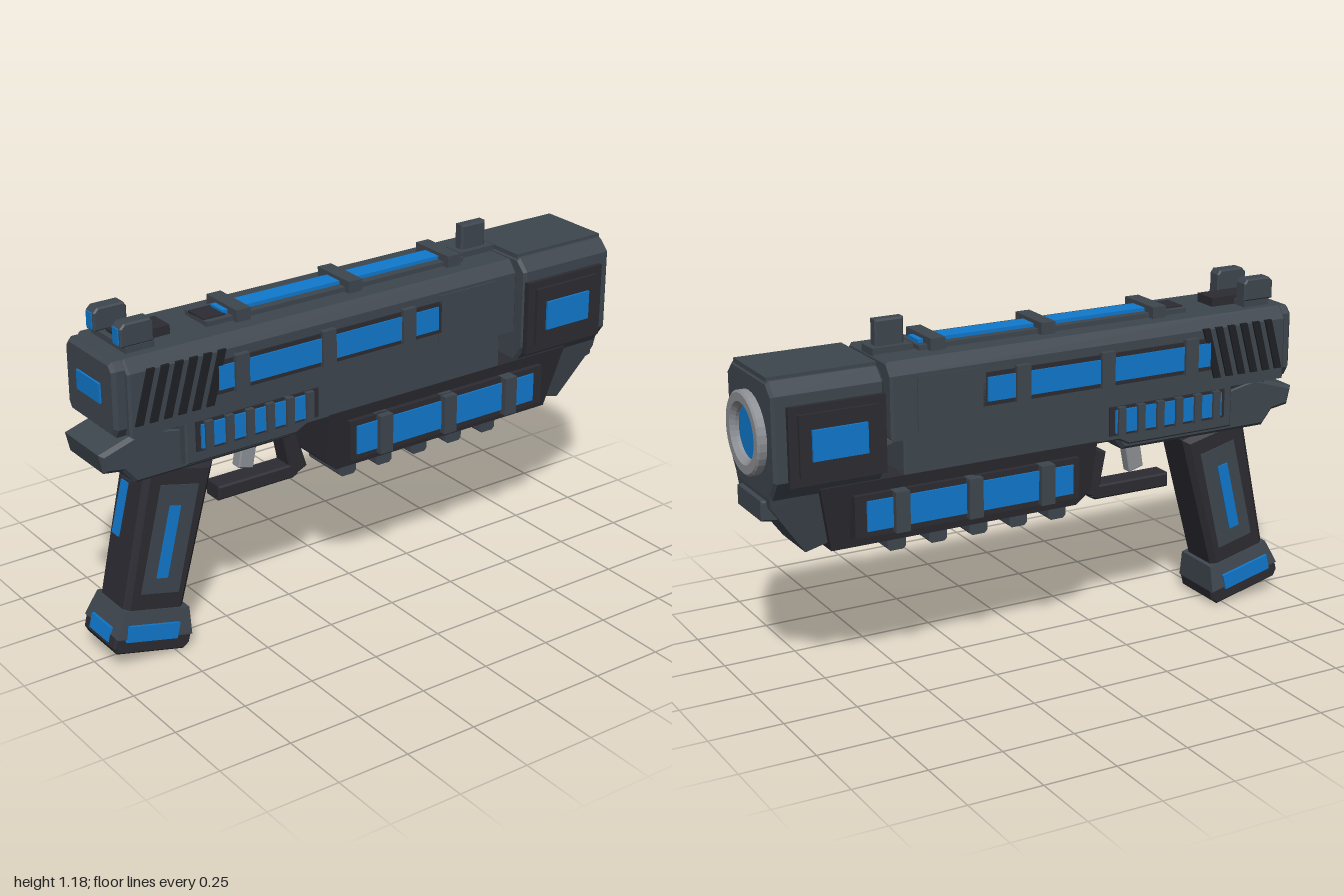
import * as THREE from 'three';

const mat = (name, color) => Object.assign(new THREE.MeshStandardMaterial({ color }), { name });

export function createModel() {
  const gray = mat('gunmetal', 0x3e464e), dark = mat('dark polymer', 0x2c2b32);
  const blue = mat('blue glow', 0x1079cd), silver = mat('steel', 0x8d9095), black = mat('slot black', 0x1e2024);
  const model = new THREE.Group();
  model.name = 'sciFiBlaster';

  const add = (name, geo, m, parent = model) => {
    const mesh = new THREE.Mesh(geo, m);
    mesh.name = name;
    parent.add(mesh);
    return mesh;
  };
  // box given by full x width and centre, y range, z range
  const box = (name, m, w, x, [y0, y1], [z0, z1], parent) => {
    const g = new THREE.BoxGeometry(w, y1 - y0, Math.abs(z1 - z0));
    return add(name, g.translate(x, (y0 + y1) / 2, (z0 + z1) / 2), m, parent);
  };
  // the same box on both sides, reaching from inner to outer x
  const pair = (name, m, [a, b], ys, zs, parent) => {
    for (const s of [1, -1]) box(name, m, b - a, s * (a + b) / 2, ys, zs, parent);
  };
  const extrude = (pts, depth, bevel) => {
    const shape = new THREE.Shape(pts.map(p => new THREE.Vector2(...p)));
    const g = new THREE.ExtrudeGeometry(shape, {
      depth: depth - 2 * bevel, bevelEnabled: bevel > 0, bevelSize: bevel,
      bevelThickness: bevel, bevelOffset: -bevel, bevelSegments: 1,
    });
    return g.translate(0, 0, bevel - depth / 2);
  };
  // side profile in (z, y), extruded across x
  const profile = (pts, halfWidth, bevel = 0) => extrude(pts, halfWidth * 2, bevel).rotateY(-Math.PI / 2);
  // cross-section in (x, y) from its +x half, extruded along z
  const section = (half, z0, z1, bevel = 0) => {
    const pts = [...half, ...half.map(([x, y]) => [-x, y]).reverse()];
    return extrude(pts, z1 - z0, bevel).translate(0, 0, (z0 + z1) / 2);
  };
  // scale x so that the width changes linearly with y
  const taper = (g, y0, s0, y1, s1) => {
    const p = g.attributes.position;
    for (let i = 0; i < p.count; i++) {
      const t = THREE.MathUtils.clamp((p.getY(i) - y0) / (y1 - y0), 0, 1);
      p.setX(i, p.getX(i) * (s0 + (s1 - s0) * t));
    }
    g.computeVertexNormals();
    return g;
  };

  // slide with chamfered top and stepped back plate
  add('slide', section([[0.168, 0.83], [0.168, 1.04], [0.135, 1.08]], -0.57, 0.92, 0.008), gray);
  add('backPlate', section([[0.13, 0.83], [0.148, 0.86], [0.148, 1.05], [0.125, 1.075]], 0.9, 0.96, 0.012), gray);
  box('backLight', blue, 0.14, 0, [0.925, 0.99], [0.95, 0.967]);
  pair('slidePanel', gray, [0.16, 0.172], [0.85, 1.03], [-0.48, -0.24]);

  // slanted grooves at the rear of the slide
  for (let i = 0; i < 6; i++) {
    const z = 0.905 - i * 0.05;
    const pts = [[z, 0.87], [z - 0.027, 0.87], [z - 0.075, 1.045], [z - 0.048, 1.045]];
    for (const s of [1, -1]) add('slideGroove', profile(pts, 0.005).translate(s * 0.17, 0, 0), black);
  }

  // side light strips with their clips
  pair('slideLightFrame', dark, [0.16, 0.172], [0.9, 1.01], [-0.25, 0.615]);
  pair('slideLight', blue, [0.168, 0.177], [0.915, 0.995], [-0.235, 0.61]);
  for (const z of [0.53, 0.205, -0.11]) pair('slideClip', gray, [0.16, 0.187], [0.9, 1.02], [z - 0.025, z + 0.025]);

  // top light strip, clips and sights
  box('topRail', gray, 0.13, 0, [1.07, 1.096], [-0.42, 0.58]);
  box('topRailCatch', dark, 0.09, 0, [1.08, 1.1], [0.5, 0.58]);
  box('topLight', blue, 0.07, 0, [1.09, 1.108], [-0.41, 0.505]);
  for (const z of [0.46, 0.035, -0.365]) box('topClip', gray, 0.175, 0, [1.07, 1.12], [z - 0.026, z + 0.026]);
  box('frontSightBase', gray, 0.08, 0, [1.075, 1.1], [-0.57, -0.43]);
  add('frontSight', profile([[-0.45, 1.08], [-0.45, 1.185], [-0.55, 1.185], [-0.55, 1.08]], 0.02, 0.006), gray);
  box('rearSightBase', gray, 0.21, 0, [1.075, 1.1], [0.79, 0.89]);
  box('rearSightNotch', dark, 0.09, 0, [1.08, 1.11], [0.7, 0.87]);
  for (const s of [1, -1]) {
    const post = profile([[0.79, 1.1], [0.905, 1.1], [0.905, 1.16], [0.89, 1.175], [0.8, 1.175], [0.79, 1.16]], 0.026, 0.005);
    add('rearSightPost', post.translate(s * 0.08, 0, 0), gray);
    box('rearSightLight', blue, 0.032, s * 0.08, [1.107, 1.16], [0.9, 0.909]);
  }

  // lower frame and tail
  add('frame', profile([[0.72, 0.84], [-0.52, 0.84], [-0.52, 0.7], [0.27, 0.7], [0.31, 0.68], [0.72, 0.68]], 0.15, 0.006), gray);
  add('frameTail', profile([[1, 0.775], [0.84, 0.825], [0.72, 0.8], [0.3, 0.8], [0.27, 0.7], [0.31, 0.65],
    [0.88, 0.65], [0.92, 0.7], [0.985, 0.71]], 0.115, 0.012), gray);
  box('tailBridge', dark, 0.22, 0, [0.79, 0.84], [0.7, 0.88]);
  pair('frameLightPlate', dark, [0.14, 0.156], [0.72, 0.82], [0.23, 0.685]);
  pair('frameLight', blue, [0.155, 0.163], [0.73, 0.81], [0.25, 0.67]);
  for (let i = 0; i < 6; i++) {
    const z = 0.645 - i * 0.075;
    pair('frameBar', gray, [0.145, 0.172], [0.72, 0.82], [z - 0.014, z + 0.014]);
  }

  // underbarrel housing, its lights, clips and rail teeth
  const housing = profile([[0.185, 0.71], [-0.81, 0.71], [-0.76, 0.485], [0.13, 0.485], [0.18, 0.53]], 1);
  add('underbarrel', taper(housing, 0.485, 0.11, 0.69, 0.152), dark);
  pair('underLightFrame', dark, [0.1, 0.163], [0.53, 0.67], [-0.7, 0.11]);
  pair('underLight', blue, [0.16, 0.169], [0.55, 0.65], [-0.66, 0.085]);
  for (const z of [-0.02, -0.285, -0.545]) pair('underClip', gray, [0.14, 0.188], [0.535, 0.67], [z - 0.025, z + 0.025]);
  for (let i = 0; i < 5; i++) {
    const z = 0.068 - i * 0.148;
    add('railTooth', profile([[z + 0.033, 0.5], [z + 0.033, 0.45], [z + 0.023, 0.44], [z - 0.023, 0.44],
      [z - 0.033, 0.45], [z - 0.033, 0.5]], 0.09), gray);
  }

  // muzzle block, side plates and lower wedge
  add('muzzleBlock', section([[0.13, 0.69], [0.18, 0.76], [0.18, 1.035], [0.14, 1.075]], -0.97, -0.595, 0.01), gray);
  box('muzzleCap', gray, 0.26, 0, [1.06, 1.085], [-0.965, -0.6]);
  pair('muzzlePlate', dark, [0.17, 0.196], [0.745, 1.0], [-0.925, -0.6]);
  pair('muzzlePlateStep', dark, [0.19, 0.208], [0.775, 0.975], [-0.895, -0.63]);
  pair('muzzleLight', blue, [0.207, 0.216], [0.825, 0.925], [-0.855, -0.67]);
  const wedge = profile([[-0.78, 0.71], [-0.97, 0.71], [-0.965, 0.665], [-0.84, 0.49], [-0.75, 0.515]], 1);
  add('muzzleWedge', taper(wedge, 0.49, 0.09, 0.7, 0.135), gray);
  add('muzzleLip', profile([[-0.9, 0.685], [-0.985, 0.685], [-0.985, 0.62], [-0.93, 0.61]], 0.1, 0.006), gray);

  // barrel: hollow ring at the muzzle, sleeve in the gap behind it
  const ring = [[0.085, 0], [0.085, 0.035], [0.1, 0.05], [0.128, 0.05], [0.135, 0.044], [0.135, 0]];
  const ringGeo = new THREE.LatheGeometry(ring.map(p => new THREE.Vector2(...p)).reverse(), 32);
  const muzzleRing = add('barrelRing', ringGeo.toNonIndexed().rotateX(-Math.PI / 2).translate(0, 0.88, -0.95), silver);
  muzzleRing.geometry.computeVertexNormals();
  silver.side = THREE.DoubleSide;
  const disc = new THREE.CircleGeometry(0.09, 32).rotateY(Math.PI);
  add('boreLight', disc.translate(0, 0.88, -0.974), blue);
  add('barrelSleeve', new THREE.CylinderGeometry(0.11, 0.11, 0.2, 32).rotateX(Math.PI / 2).translate(0, 0.88, -0.58), silver);

  // trigger and guard
  add('trigger', profile([[0.43, 0.66], [0.37, 0.66], [0.395, 0.53], [0.45, 0.545]], 0.022, 0.004), silver);
  add('guardBar', profile([[0.54, 0.51], [0.25, 0.51], [0.23, 0.47], [0.25, 0.46], [0.54, 0.46]], 0.04, 0.006), dark);
  add('guardFront', profile([[0.29, 0.625], [0.245, 0.645], [0.195, 0.49], [0.25, 0.465], [0.265, 0.5]], 0.04, 0.006), dark);

  // raked grip built upright, then tilted
  const grip = new THREE.Group();
  grip.name = 'grip';
  grip.position.set(0, 0.036, 0.85);
  grip.rotation.x = -0.24;
  model.add(grip);
  const bodyGeo = profile([[-0.11, 0.1], [0.11, 0.1], [0.125, 0.64], [-0.125, 0.64]], 0.085, 0.018);
  add('gripBody', bodyGeo, dark, grip);
  pair('gripPanel', gray, [0.078, 0.088], [0.2, 0.57], [-0.075, 0.065], grip);
  pair('gripLight', blue, [0.086, 0.093], [0.255, 0.5], [-0.02, 0.02], grip);
  add('gripBackPlate', profile([[0.1, 0.36], [0.14, 0.37], [0.14, 0.56], [0.1, 0.59]], 0.03), dark, grip);
  box('gripBackLight', blue, 0.04, 0, [0.375, 0.555], [0.135, 0.145], grip);

  // flared base with lights
  const base = profile([[-0.145, 0.055], [0.135, 0.055], [0.115, 0.145], [-0.125, 0.145]], 1);
  add('gripBase', taper(base, 0.055, 0.106, 0.145, 0.09), gray, grip);
  add('gripFoot', profile([[-0.13, 0], [0.12, 0], [0.137, 0.02], [0.137, 0.056], [-0.147, 0.056], [-0.147, 0.02]], 0.098, 0.006), dark, grip);
  pair('gripBaseLight', blue, [0.095, 0.108], [0.045, 0.1], [-0.09, 0.1], grip);
  box('gripBaseBackLight', blue, 0.12, 0, [0.03, 0.08], [0.13, 0.14], grip);
  return model;
}
